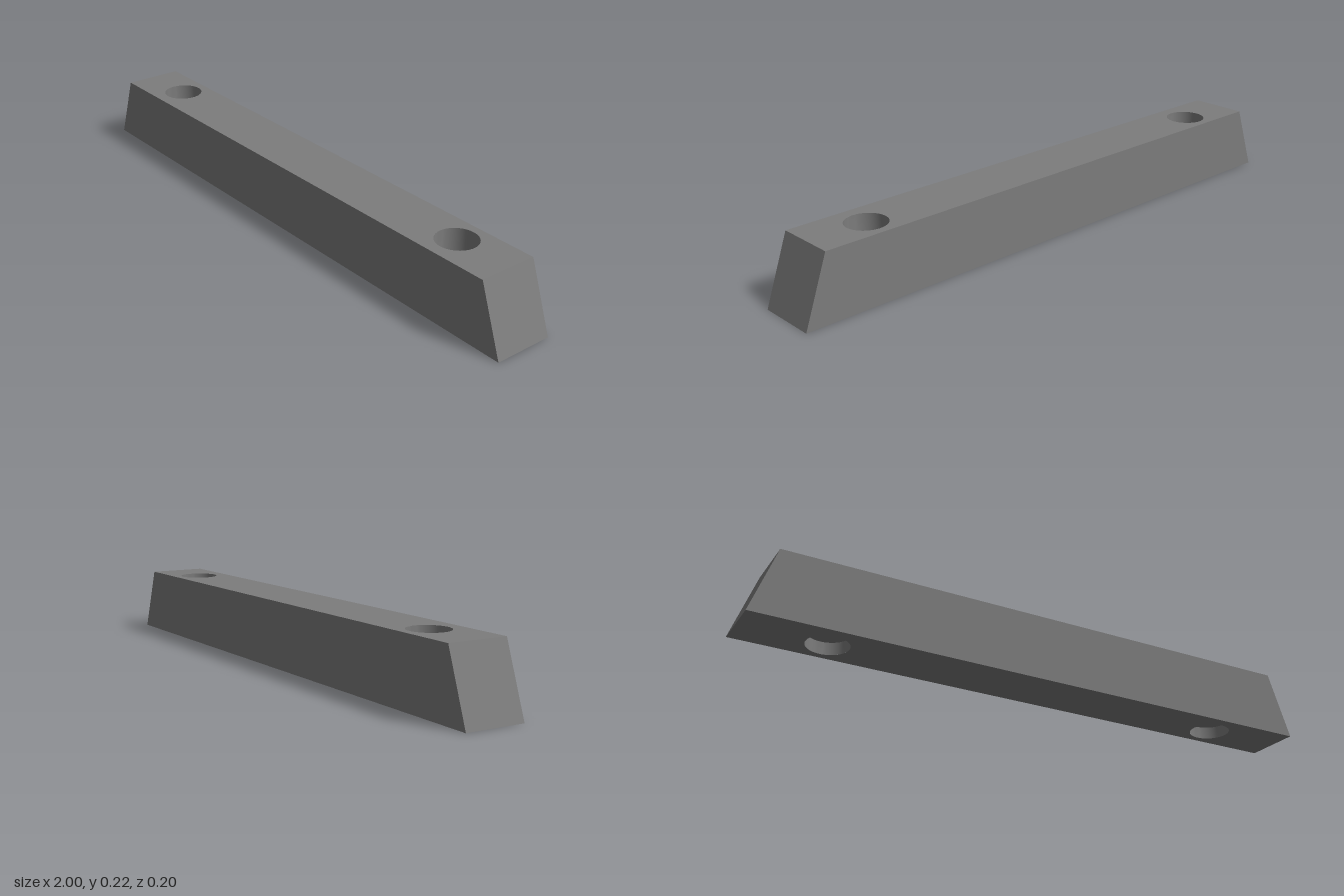
import * as THREE from 'three';
import { toCreasedNormals } from 'three/addons/utils/BufferGeometryUtils.js';

const HEIGHT = 0.223, HALF_DEPTH = 0.1;
const HALF_BOTTOM = 1, HALF_TOP = 0.92;
const HOLE_X = 0.717, HOLE_Z = -0.006, SEGMENTS = 48;
const TOP_HOLE = { radius: 0.067, depth: 0.15 };
const BOTTOM_RECESS = { radius: 0.069, depth: 0.042 };

const material = new THREE.MeshStandardMaterial({ color: 0x7c7c7c });

function part(name, geometry) {
  const mesh = new THREE.Mesh(geometry, material);
  mesh.name = name;
  return mesh;
}

// Flat rectangular face pierced by the two round openings; side is +1 for up, -1 for down
function piercedFace(halfWidth, side, radius) {
  const shape = new THREE.Shape([
    new THREE.Vector2(-halfWidth, -HALF_DEPTH),
    new THREE.Vector2(halfWidth, -HALF_DEPTH),
    new THREE.Vector2(halfWidth, HALF_DEPTH),
    new THREE.Vector2(-halfWidth, HALF_DEPTH),
  ]);
  for (const x of [-HOLE_X, HOLE_X]) {
    shape.holes.push(new THREE.Path().absarc(x, -side * HOLE_Z, radius, 0, Math.PI * 2, true));
  }
  return new THREE.ShapeGeometry(shape, SEGMENTS).rotateX(-side * Math.PI / 2);
}

// Four outer walls, joining the bottom rectangle to the shorter top one
function outerWalls() {
  const ring = (halfWidth, y) => [
    [-halfWidth, y, HALF_DEPTH], [halfWidth, y, HALF_DEPTH],
    [halfWidth, y, -HALF_DEPTH], [-halfWidth, y, -HALF_DEPTH],
  ];
  const low = ring(HALF_BOTTOM, 0), high = ring(HALF_TOP, HEIGHT);
  const positions = [];
  for (let i = 0; i < 4; i++) {
    const j = (i + 1) % 4;
    for (const corner of [low[i], low[j], high[j], low[i], high[j], high[i]]) positions.push(...corner);
  }
  const geometry = new THREE.BufferGeometry();
  geometry.setAttribute('position', new THREE.Float32BufferAttribute(positions, 3));
  geometry.computeVertexNormals();
  return geometry;
}

// Inside of a blind round hole: wall and floor, opening upward at y = 0
function blindHole({ radius, depth }) {
  const profile = [[radius, 0], [radius, -depth], [0, -depth]].map(([r, y]) => new THREE.Vector2(r, y));
  return toCreasedNormals(new THREE.LatheGeometry(profile, SEGMENTS), 0.6);
}

export function createModel() {
  const model = new THREE.Group();
  model.name = 'taperedBar';

  const body = new THREE.Group();
  body.name = 'body';
  const top = part('topFace', piercedFace(HALF_TOP, 1, TOP_HOLE.radius));
  top.position.y = HEIGHT;
  const bottom = part('bottomFace', piercedFace(HALF_BOTTOM, -1, BOTTOM_RECESS.radius));
  body.add(part('outerWalls', outerWalls()), top, bottom);
  model.add(body);

  // Deep holes from above, shallow recesses from below
  for (const [side, x] of [['right', -HOLE_X], ['left', HOLE_X]]) {
    const hole = part(side + 'TopHole', blindHole(TOP_HOLE));
    hole.position.set(x, HEIGHT, HOLE_Z);
    const recess = part(side + 'BottomRecess', blindHole(BOTTOM_RECESS));
    recess.rotation.x = Math.PI;
    recess.position.set(x, 0, HOLE_Z);
    model.add(hole, recess);
  }
  return model;
}
